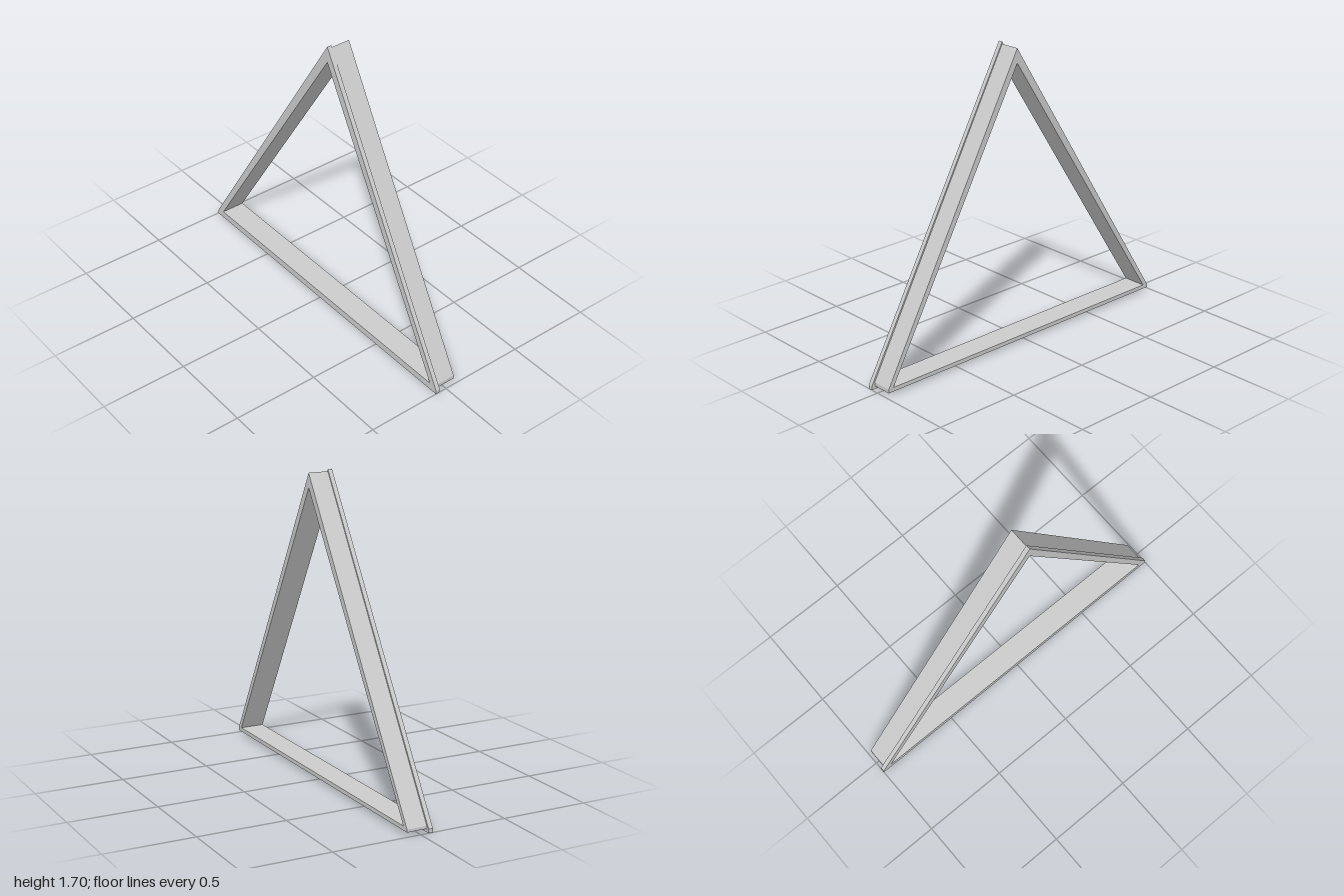
import * as THREE from 'three';

const material = new THREE.MeshStandardMaterial({ color: 0xcccccc, flatShading: true });
const toPoints = (list) => list.map(([x, y]) => new THREE.Vector2(x, y));

// Triangular opening shared by both layers
const opening = [[-0.946, 0.041], [0.07, 1.605], [0.948, 0.041]];

// A ring cut from an outline, running from zBack to zFront
function ring(name, outline, zBack, zFront) {
  const shape = new THREE.Shape(toPoints(outline));
  shape.holes.push(new THREE.Path(toPoints(opening)));
  const geometry = new THREE.ExtrudeGeometry(shape, { depth: zFront - zBack, bevelEnabled: false });
  geometry.translate(0, 0, zBack);
  const mesh = new THREE.Mesh(geometry, material);
  mesh.name = name;
  return mesh;
}

export function createModel() {
  const group = new THREE.Group();
  group.name = 'triangularFrame';
  // Thin front lip, slightly wider than the body, with clipped lower corners
  group.add(ring('frontFlange',
    [[-1, 0], [1, 0], [1, 0.022], [0.07, 1.697], [-1, 0.022]], 0.045, 0.07));
  // Deep frame behind the lip
  group.add(ring('frameBody',
    [[-0.982, 0.018], [0.98, 0.018], [0.98, 0.039], [0.07, 1.685], [-0.982, 0.033]], -0.07, 0.045));
  return group;
}
